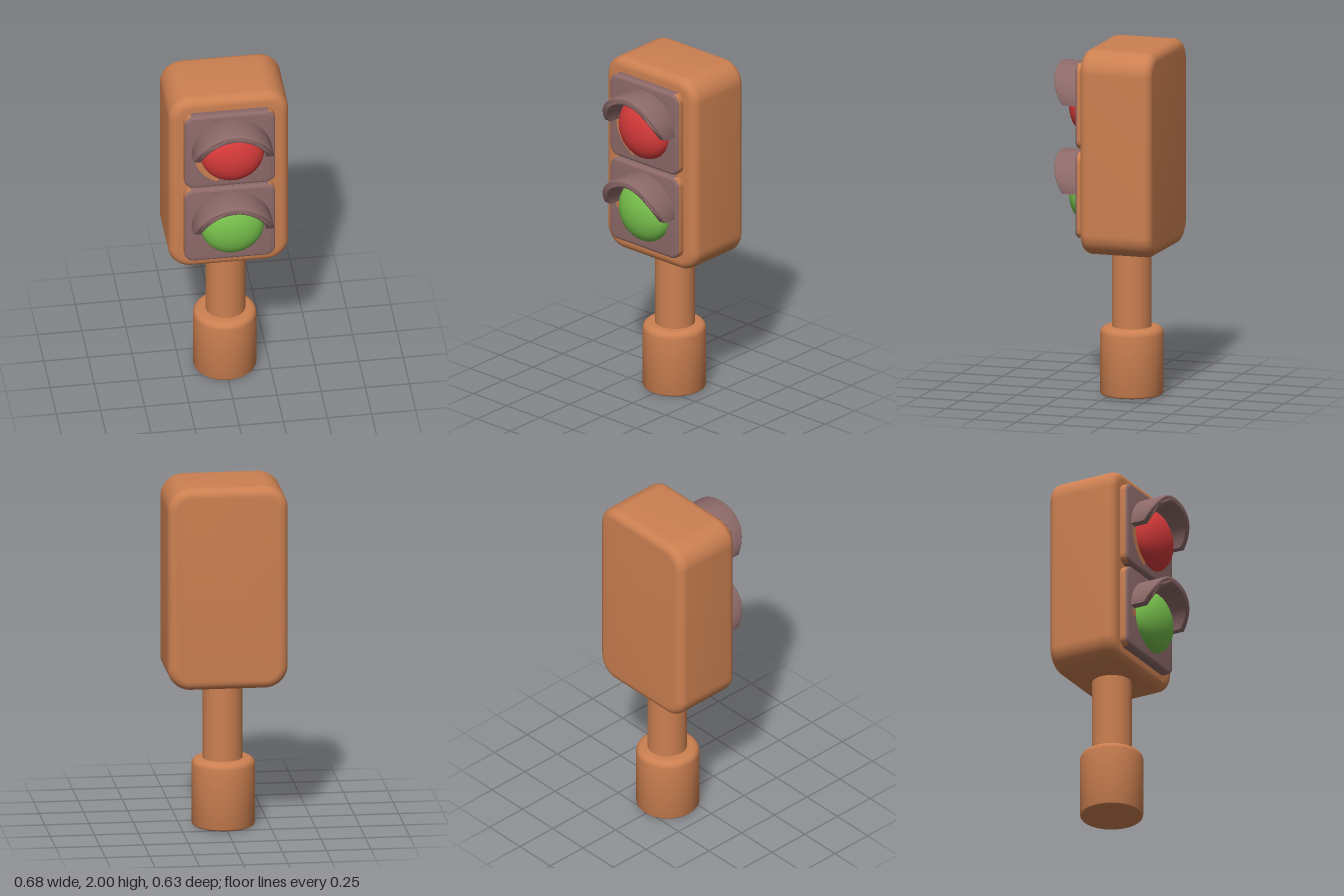
import * as THREE from 'three';
import { toCreasedNormals } from 'three/addons/utils/BufferGeometryUtils.js';

const material = (name, color) => {
  const m = new THREE.MeshStandardMaterial({ color });
  m.name = name;
  return m;
};

// Rounded rectangle slab with softened edges, from z0 to z1
function slab(w, h, radius, bevel, z0, z1) {
  const x = w / 2, y = h / 2, r = radius;
  const s = new THREE.Shape();
  s.moveTo(-x + r, -y);
  s.lineTo(x - r, -y);
  s.absarc(x - r, -y + r, r, -Math.PI / 2, 0);
  s.absarc(x - r, y - r, r, 0, Math.PI / 2);
  s.absarc(-x + r, y - r, r, Math.PI / 2, Math.PI);
  s.absarc(-x + r, -y + r, r, Math.PI, Math.PI * 1.5);
  const g = new THREE.ExtrudeGeometry(s, {
    depth: z1 - z0 - 2 * bevel, bevelSize: bevel, bevelThickness: bevel,
    bevelOffset: -bevel, bevelSegments: 6, curveSegments: 10,
  });
  g.translate(0, 0, z0 + bevel);
  return toCreasedNormals(g, 0.6);
}

// Arched hood whose front edge sweeps back towards its two ends
function hood() {
  const R = 0.228, r = 0.184, a = 0.06, z0 = 0.145, bevel = 0.01;
  const s = new THREE.Shape();
  s.absarc(0, 0, R, a, Math.PI - a, false);
  s.absarc(0, 0, r, Math.PI - a, a, true);
  s.closePath();
  const g = new THREE.ExtrudeGeometry(s, {
    depth: 1 - 0.12, bevelSize: bevel, bevelThickness: 0.06,
    bevelOffset: -bevel, bevelSegments: 3, curveSegments: 32,
  });
  g.translate(0, 0, 0.06);
  const p = g.attributes.position;
  for (let i = 0; i < p.count; i++) {
    const up = Math.max(0, p.getY(i)) / Math.hypot(p.getX(i), p.getY(i));
    const front = 0.232 + 0.085 * Math.sin(up * Math.PI / 2);
    p.setZ(i, z0 + p.getZ(i) * (front - z0));
  }
  return toCreasedNormals(g, 0.7);
}

// Panel whose side walls take the second material
function panelGeometry() {
  const g = slab(0.515, 0.495, 0.055, 0.018, 0.09, 0.156);
  const p = g.attributes.position;
  g.clearGroups();
  for (let i = 0; i < p.count; i += 3) {
    const x = (p.getX(i) + p.getX(i + 1) + p.getX(i + 2)) / 3;
    const z = (p.getZ(i) + p.getZ(i + 1) + p.getZ(i + 2)) / 3;
    g.addGroup(i, 3, Math.abs(x) > 0.22 && z < 0.143 ? 1 : 0);
  }
  return g;
}

export function createModel() {
  const model = new THREE.Group();
  model.name = 'trafficLight';
  const orange = material('orange', 0xcc8051);
  const mauve = material('mauve', 0x8d6a69);
  const red = material('red', 0xd93b3b);
  const green = material('green', 0x78c14c);

  const add = (parent, name, geometry, mat, x = 0, y = 0, z = 0) => {
    const m = new THREE.Mesh(geometry, mat);
    m.name = name;
    m.position.set(x, y, z);
    parent.add(m);
    return m;
  };

  // Housing
  add(model, 'housing', slab(0.68, 1.17, 0.13, 0.052, -0.317, 0.107), orange, 0, 1.415, 0);

  // Pole and foot
  add(model, 'pole', new THREE.CylinderGeometry(0.112, 0.112, 0.5, 40, 1, true), orange, 0.007, 0.61, -0.099);
  const profile = [new THREE.Vector2(0, 0)];
  const corner = (cx, cy, r, from) => {
    for (let i = 0; i <= 5; i++) {
      const a = from + (i / 5) * Math.PI / 2;
      profile.push(new THREE.Vector2(cx + r * Math.cos(a), cy + r * Math.sin(a)));
    }
  };
  corner(0.163, 0.015, 0.015, -Math.PI / 2);
  corner(0.14, 0.352, 0.038, 0);
  profile.push(new THREE.Vector2(0, 0.39));
  const foot = toCreasedNormals(new THREE.LatheGeometry(profile, 40), 0.6);
  add(model, 'foot', foot, orange, 0.003, 0, -0.098);

  // Two lamps, each with a panel, a domed lens and a hood
  const lens = new THREE.SphereGeometry(0.18, 36, 12, 0, Math.PI * 2, 0, Math.PI / 2);
  lens.rotateX(Math.PI / 2);
  lens.scale(1, 1, 0.58);
  const panel = panelGeometry();
  const hoodShape = hood();
  const lamps = [
    ['red', red, 1.671, 1.655, 1.2],
    ['green', green, 1.16, 1.15, 0.2],
  ];
  for (const [name, mat, panelY, lensY, arc] of lamps) {
    const lamp = new THREE.Group();
    lamp.name = name + 'Lamp';
    model.add(lamp);
    add(lamp, 'panel', panel, [mauve, orange], -0.002, panelY, 0);
    add(lamp, 'lens', lens, mat, 0.01, lensY, 0.152);
    add(lamp, 'hood', hoodShape, mauve, 0.007, lensY, 0);
    // Orange sliver beside the lens
    add(lamp, 'lensTrim', new THREE.RingGeometry(0.17, 0.205, 24, 1, Math.PI, arc), orange, 0, lensY, 0.158);
  }
  return model;
}
